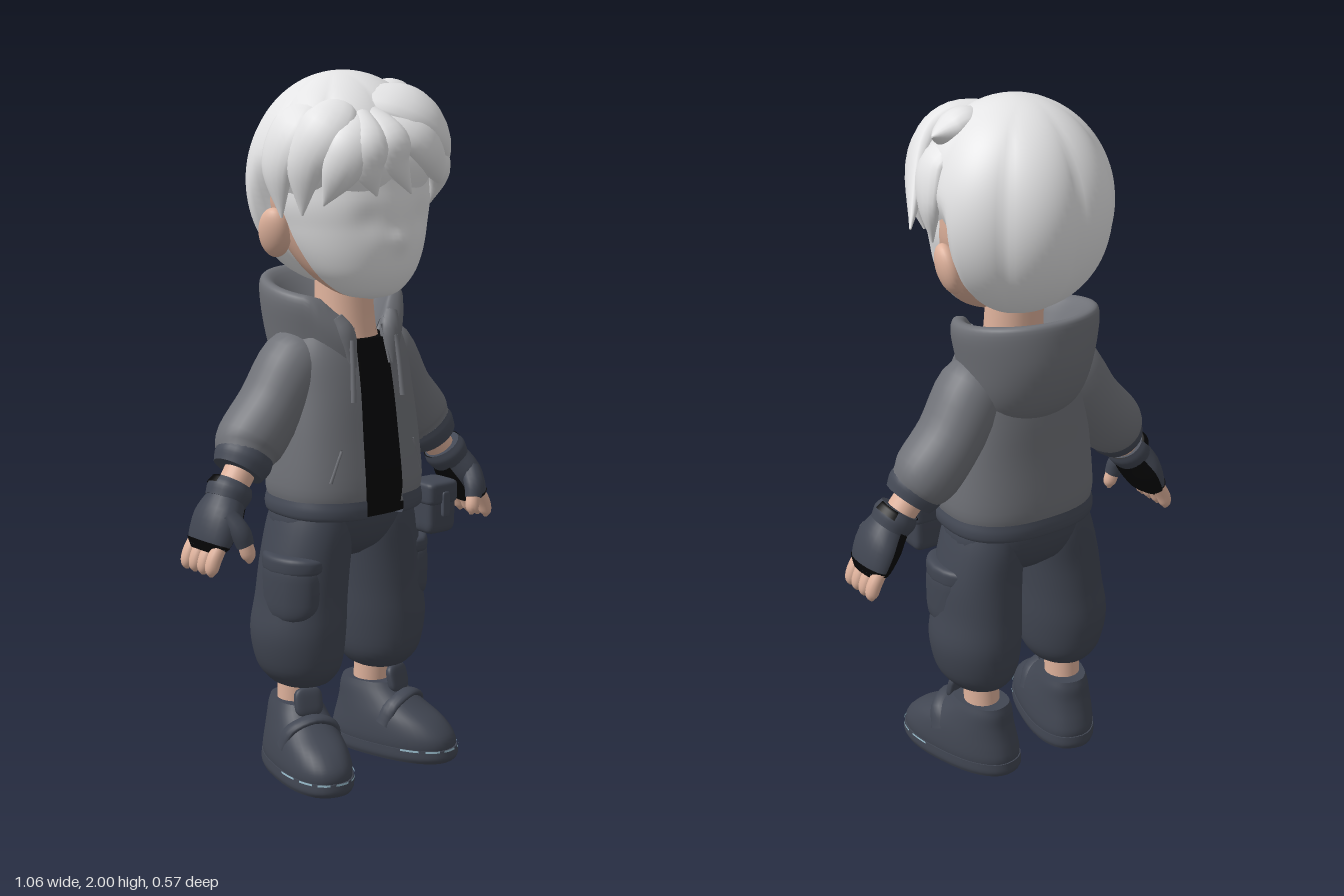
import * as THREE from 'three';

const V = (x, y, z) => new THREE.Vector3(x, y, z);
const X = V(1, 0, 0), Y = V(0, 1, 0), Z = V(0, 0, 1);
const PI = Math.PI, FRONT = 1.5 * PI;
const pow = (v, p) => Math.sign(v) * Math.pow(Math.abs(v), p);

// Smooth skin through elliptical stations [x, y, z, radiusA, radiusB]; an arc leaves it open.
function sweep(st, { axis, ref = X, center, n = 24, sub = 4, p = 1, arc } = {}) {
  const path = new THREE.CatmullRomCurve3(st.map(s => V(s[0], s[1], s[2])), false, 'catmullrom');
  const rad = new THREE.CatmullRomCurve3(st.map(s => V(s[3], s[4], 0)), false, 'catmullrom');
  const m = (st.length - 1) * sub, cols = arc ? n + 1 : n, pos = [], idx = [];
  for (let i = 0; i <= m; i++) {
    const c = path.getPoint(i / m), r = rad.getPoint(i / m);
    const T = axis || path.getTangent(i / m);
    const R = center ? c.clone().sub(center).cross(T) : ref;
    const U = R.clone().addScaledVector(T, -R.dot(T)).normalize();
    const W = T.clone().cross(U);
    for (let j = 0; j < cols; j++) {
      const th = arc ? arc[0] + (arc[1] - arc[0]) * j / n : j / n * 2 * PI;
      const q = c.clone().addScaledVector(U, Math.max(r.x, 0.001) * pow(Math.cos(th), p))
        .addScaledVector(W, Math.max(r.y, 0.001) * pow(Math.sin(th), p));
      pos.push(q.x, q.y, q.z);
    }
  }
  for (let i = 0; i < m; i++) for (let j = 0; j < n; j++) {
    const a = i * cols + j, b = i * cols + (j + 1) % cols;
    idx.push(a, b, a + cols, b, b + cols, a + cols);
  }
  if (!arc) for (const end of [0, m]) {
    const base = pos.length / 3, c = path.getPoint(end / m);
    for (let k = 0; k < cols * 3; k++) pos.push(pos[end * cols * 3 + k]);
    pos.push(c.x, c.y, c.z);
    for (let j = 0; j < n; j++) {
      const a = base + j, b = base + (j + 1) % n;
      idx.push(base + n, end ? a : b, end ? b : a);
    }
  }
  const g = new THREE.BufferGeometry();
  g.setAttribute('position', new THREE.Float32BufferAttribute(pos, 3));
  g.setIndex(idx);
  g.computeVertexNormals();
  return g;
}

// Level rings given as [y, halfWidth, frontZ, backZ, centreX]
const loft = (rows, o = {}) => sweep(
  rows.map(([y, a, f, b, x = 0]) => [x, y, (f + b) / 2, a, (f - b) / 2]), { axis: Y, ...o });

// Moves every vertex by a rule
function reshape(g, fn) {
  const P = g.attributes.position, v = V(0, 0, 0);
  for (let i = 0; i < P.count; i++) {
    fn(v.fromBufferAttribute(P, i));
    P.setXYZ(i, v.x, v.y, v.z);
  }
  g.computeVertexNormals();
  return g;
}

// Soft padded box, optionally bent around the leg
const pillow = (w, h, d, p = 0.4, bend = 0) => reshape(new THREE.SphereGeometry(1, 28, 20), v => {
  v.set(pow(v.x, p) * w / 2, pow(v.y, p) * h / 2, pow(v.z, p) * d / 2);
  v.x -= bend * v.z * v.z;
});

function mirror(g) {
  const m = g.clone().scale(-1, 1, 1), a = m.index.array;
  for (let i = 0; i < a.length; i += 3) [a[i], a[i + 1]] = [a[i + 1], a[i]];
  return m;
}

export function createModel() {
  const root = new THREE.Group();
  root.name = 'hoodedBoy';
  const paint = (name, color, open) => {
    const m = new THREE.MeshStandardMaterial({ color });
    m.name = name;
    if (open) m.side = THREE.DoubleSide;
    return m;
  };
  const white = paint('white', 0xe4e4e5);
  const skin = paint('skin', 0xdfb29c);
  const grey = paint('jacket grey', 0x707278, true);
  const rib = paint('ribbing slate', 0x454a56, true);
  const slate = paint('trouser slate', 0x414652);
  const black = paint('black', 0x060607, true);
  const trim = paint('pale blue trim', 0x9cc0d0, true);

  const add = (name, g, mat) => {
    const m = new THREE.Mesh(g, mat);
    m.name = name;
    root.add(m);
  };
  const pair = (name, g, mat) => {
    add('left' + name, g, mat);
    add('right' + name, mirror(g), mat);
  };

  // Head: pale face in front with a slight nose and eye hollows, skin behind
  const headRows = [[1.378, 0.01, 0.12, 0.1], [1.395, 0.085, 0.175, 0.02], [1.44, 0.145, 0.21, -0.06],
    [1.5, 0.185, 0.228, -0.125], [1.58, 0.215, 0.236, -0.19], [1.68, 0.232, 0.236, -0.23],
    [1.85, 0.2, 0.2, -0.2], [1.93, 0.01, 0.01, -0.01]];
  const bump = (v, x, y, r) => Math.exp(-((v.x - x) ** 2 + (v.y - y) ** 2) / (r * r));
  add('face', reshape(loft(headRows, { arc: [PI, 2 * PI], n: 48, sub: 8 }), v => {
    if (v.z > 0.1) v.z += 0.012 * bump(v, 0, 1.55, 0.03)
      - 0.008 * (bump(v, 0.09, 1.61, 0.045) + bump(v, -0.09, 1.61, 0.045));
  }), white);
  add('backOfHead', loft(headRows, { arc: [0, PI], n: 32 }), skin);
  add('neck', loft([[1.2, 0.12, 0.105, -0.09], [1.29, 0.09, 0.085, -0.085], [1.45, 0.08, 0.07, -0.09]]), skin);
  pair('Ear', new THREE.SphereGeometry(1, 24, 16).scale(0.034, 0.072, 0.05)
    .rotateY(-0.25).rotateX(0.25).rotateZ(-0.2).translate(0.225, 1.565, -0.03), skin);

  // Hair cap: lobes radiate from the crown, tucked in around face and ears
  const mid = V(0, 1.7, -0.01);
  add('hairCap', reshape(new THREE.SphereGeometry(1, 96, 48), v => {
    const ring = Math.hypot(v.x, v.z);
    const lobe = 1 + 0.07 * ring * (Math.pow(Math.abs(Math.sin(4 * Math.atan2(v.z, v.x + 0.12))), 0.7) - 0.6);
    v.set(v.x * 0.268 * lobe, v.y * 0.3, v.z * 0.27 * lobe).add(mid);
    const tuck = THREE.MathUtils.smoothstep(v.z, -0.09, -0.04) * (1 - THREE.MathUtils.smoothstep(v.y, 1.62, 1.78));
    v.x *= 1 - 0.2 * tuck;
    if (v.z > 0) v.z *= 1 - 0.2 * tuck;
  }), white);

  // Hair locks: four path points, width, thickness
  const locks = [
    [[-0.06, 1.93, 0.06], [0.07, 1.9, 0.17], [0.18, 1.82, 0.17], [0.3, 1.67, 0.04], 0.1, 0.05],
    [[-0.05, 1.92, 0.1], [0.05, 1.84, 0.22], [0.13, 1.765, 0.215], [0.22, 1.68, 0.16], 0.075, 0.045],
    [[-0.05, 1.91, 0.14], [-0.04, 1.83, 0.24], [-0.025, 1.76, 0.248], [0.035, 1.675, 0.238], 0.05, 0.032],
    [[-0.07, 1.9, 0.14], [-0.11, 1.82, 0.225], [-0.115, 1.75, 0.235], [-0.085, 1.675, 0.235], 0.055, 0.04],
    [[-0.08, 1.89, 0.15], [-0.14, 1.82, 0.205], [-0.18, 1.74, 0.195], [-0.2, 1.65, 0.15], 0.065, 0.04],
    [[-0.08, 1.92, 0.08], [-0.17, 1.865, 0.14], [-0.225, 1.76, 0.11], [-0.225, 1.62, 0.09], 0.075, 0.04],
    [[-0.1, 1.92, 0], [-0.2, 1.865, 0.04], [-0.25, 1.75, 0.02], [-0.24, 1.61, 0.02], 0.075, 0.035],
    [[0.1, 1.92, 0], [0.2, 1.84, 0.06], [0.24, 1.74, 0.04], [0.232, 1.62, 0.04], 0.075, 0.035],
    [[0.1, 1.85, 0.19], [0.17, 1.77, 0.185], [0.205, 1.71, 0.155], [0.208, 1.63, 0.12], 0.06, 0.035],
    [[0.04, 1.93, 0.03], [0.12, 1.93, 0.05], [0.18, 1.915, 0.04], [0.24, 1.917, 0.02], 0.065, 0.045],
  ];
  locks.forEach(([a, b, c, d, w, t], i) => add('hairLock' + (i + 1), sweep(
    [[...a, w * 0.5, t * 0.5], [...b, w, t], [...c, w * 0.8, t * 0.85], [...d, 0.003, 0.003]],
    { center: mid, n: 16, sub: 6 }), white));

  // Shirt and open jacket body
  const body = [[0.8, 0.22, 0.172, -0.18], [0.86, 0.23, 0.176, -0.185], [1.0, 0.22, 0.16, -0.172],
    [1.12, 0.205, 0.145, -0.165], [1.22, 0.193, 0.125, -0.15], [1.3, 0.165, 0.1, -0.125]];
  const opening = [FRONT + 0.215, FRONT + 2 * PI - 0.215];
  add('jacketBody', loft(body, { arc: opening, n: 48, p: 0.8 }), grey);
  add('shirt', loft([[0.77, 0.2, 0.16, -0.165], ...body.slice(1, 5).map(([y, a, f, b]) => [y, a - 0.012, f - 0.008, b + 0.012]),
    [1.265, 0.16, 0.108, -0.12]], { n: 48, p: 0.8 }), black);
  add('jacketHem', loft([[0.768, 0.2, 0.155, -0.165], [0.77, 0.224, 0.178, -0.186], [0.795, 0.23, 0.182, -0.19],
    [0.822, 0.224, 0.178, -0.186]], { arc: opening, n: 48, p: 0.8 }), rib);

  // Hood: folded cup behind the neck, sloping down to the collar
  const hood = loft([[1.09, 0.12, 0.07, -0.15], [1.13, 0.155, 0.1, -0.2], [1.19, 0.178, 0.12, -0.235],
    [1.27, 0.193, 0.13, -0.257], [1.36, 0.208, 0.14, -0.26], [1.395, 0.198, 0.13, -0.25], [1.385, 0.165, 0.1, -0.215],
    [1.31, 0.12, 0.08, -0.15], [1.25, 0.09, 0.06, -0.1]], { arc: [FRONT + 0.38, FRONT + 2 * PI - 0.38], n: 48 });
  add('hood', reshape(hood, v => { v.y += v.z < 0.05 ? -v.z * 0.17 : -0.0085 - (v.z - 0.05) * 1.5; }), grey);
  pair('CollarEdge', sweep([[0.1, 1.33, 0.08, 0.02, 0.02], [0.08, 1.28, 0.1, 0.03, 0.026],
    [0.07, 1.19, 0.118, 0.012, 0.012]], { n: 16 }), grey);
  pair('Drawstring', sweep([[0.08, 1.27, 0.125, 0.007, 0.007], [0.085, 1.2, 0.136, 0.007, 0.007],
    [0.09, 1.1, 0.146, 0.008, 0.008]], { n: 10 }), grey);
  pair('PocketSeam', sweep([[0.13, 0.97, 0.142, 0.005, 0.005], [0.165, 0.88, 0.137, 0.005, 0.005]], { n: 8 }), grey);

  // Arms
  pair('Sleeve', sweep([[0.1, 1.24, -0.025, 0.06, 0.05], [0.15, 1.2, -0.03, 0.1, 0.1], [0.235, 1.08, -0.04, 0.102, 0.093],
    [0.31, 0.99, -0.04, 0.098, 0.096], [0.342, 0.948, -0.03, 0.08, 0.08]], { ref: Z, n: 28 }), grey);
  pair('Cuff', sweep([[0.328, 0.965, -0.03, 0.08, 0.08], [0.345, 0.942, -0.028, 0.083, 0.083],
    [0.364, 0.917, -0.025, 0.074, 0.072]], { ref: Z }), rib);
  pair('Wrist', sweep([[0.34, 0.94, -0.025, 0.045, 0.045], [0.41, 0.85, -0.015, 0.045, 0.042]], { ref: Z }), skin);

  // Fingerless gloves with black palms and knuckle openings
  const hand = [[0.39, 0.885, -0.015, 0.052, 0.05], [0.415, 0.85, -0.01, 0.06, 0.052], [0.45, 0.8, -0.005, 0.083, 0.055],
    [0.48, 0.74, -0.005, 0.08, 0.042], [0.49, 0.715, -0.005, 0.06, 0.025]];
  const band = [[0.388, 0.888, -0.015, 0.058, 0.056], [0.402, 0.868, -0.013, 0.067, 0.063],
    [0.42, 0.842, -0.01, 0.062, 0.056]];
  const skinOver = (rows, arc) => sweep(
    rows.map(([x, y, z, a, b]) => [x, y, z, a + 0.003, b + 0.003]), { ref: Z, arc, n: 16 });
  pair('Glove', sweep(hand, { ref: Z }), slate);
  pair('GloveBand', sweep(band, { ref: Z }), slate);
  pair('GlovePalm', skinOver(hand.slice(1), [0.28 * PI, PI]), black);
  pair('KnuckleOpening', skinOver(hand.slice(3), [PI, 2.2 * PI]), black);
  pair('WristGap', skinOver(band.slice(0, 2), [1.2 * PI, 1.55 * PI]), black);
  [-0.063, -0.025, 0.014, 0.05].forEach((z, i) => pair('Finger' + (i + 1), sweep(
    [[0.478, 0.745, z, 0.02, 0.02], [0.502, 0.705, z, 0.021, 0.021], [0.512, 0.675, z, 0.018, 0.018],
      [0.513, 0.658, z, 0.005, 0.005]], { ref: Z, n: 12 }), skin));
  pair('ThumbSleeve', sweep([[0.452, 0.815, 0.045, 0.03, 0.03], [0.435, 0.775, 0.078, 0.03, 0.028],
    [0.424, 0.738, 0.088, 0.025, 0.024]], { n: 14 }), slate);
  pair('Thumb', sweep([[0.427, 0.75, 0.086, 0.021, 0.021], [0.417, 0.71, 0.091, 0.02, 0.02],
    [0.414, 0.688, 0.09, 0.005, 0.005]], { n: 12 }), skin);

  // Trousers and cargo pockets
  add('hips', loft([[0.63, 0.08, 0.04, -0.1], [0.67, 0.17, 0.095, -0.145], [0.73, 0.222, 0.126, -0.168],
    [0.8, 0.212, 0.14, -0.17]], { n: 40, p: 0.85 }), slate);
  pair('TrouserLeg', loft([[0.262, 0.062, 0.045, -0.105, 0.145], [0.278, 0.086, 0.075, -0.135, 0.145],
    [0.325, 0.115, 0.108, -0.165, 0.149], [0.42, 0.131, 0.12, -0.178, 0.152], [0.52, 0.126, 0.118, -0.168, 0.143],
    [0.62, 0.124, 0.12, -0.16, 0.134], [0.72, 0.115, 0.125, -0.16, 0.118], [0.79, 0.1, 0.12, -0.15, 0.11]], { n: 32 }), slate);
  pair('CargoPocket', pillow(0.08, 0.18, 0.21, 0.55, 4).translate(0.235, 0.56, 0.005), slate);
  pair('PocketFlap', pillow(0.084, 0.06, 0.215, 0.55, 4).translate(0.232, 0.635, 0.005), slate);

  // Belt pouch
  add('pouch', pillow(0.105, 0.15, 0.1, 0.35).translate(0.232, 0.75, 0.118), slate);
  add('pouchFlap', pillow(0.114, 0.07, 0.11, 0.35).translate(0.232, 0.797, 0.12), slate);
  add('pouchStrap', pillow(0.026, 0.075, 0.014, 0.35).translate(0.232, 0.765, 0.174), rib);

  // Feet, turned slightly outwards
  const place = g => g.rotateY(0.26).translate(0.148, 0, -0.04);
  pair('Ankle', loft([[0.15, 0.052, 0, -0.11, 0.145], [0.3, 0.052, 0.01, -0.1, 0.145]]), skin);
  pair('Shoe', place(loft([[0.02, 0.096, 0.27, -0.132], [0.05, 0.1, 0.276, -0.136], [0.08, 0.098, 0.264, -0.13],
    [0.115, 0.092, 0.225, -0.12], [0.15, 0.083, 0.16, -0.112], [0.185, 0.073, 0.105, -0.108],
    [0.21, 0.064, 0.08, -0.1]], { n: 36, p: 0.85 })), slate);
  pair('Sole', place(loft([[0, 0.098, 0.274, -0.136], [0.015, 0.103, 0.283, -0.141], [0.04, 0.102, 0.28, -0.139]],
    { n: 36, p: 0.85 })), slate);
  pair('ShoeTongue', place(pillow(0.085, 0.085, 0.03, 0.6).rotateX(-0.25).translate(0, 0.22, 0.082)), slate);
  pair('ShoeStrap', place(sweep([[-0.088, 0.1, 0.085, 0.026, 0.01], [-0.064, 0.155, 0.105, 0.026, 0.012],
    [0, 0.18, 0.118, 0.026, 0.012], [0.064, 0.155, 0.105, 0.026, 0.012], [0.088, 0.1, 0.085, 0.026, 0.01]],
  { ref: Z, n: 14 })), slate);
  [-1.2, -0.75, -0.3, 0.15, 0.6, 1.05].forEach((t, i) => pair('SoleStitch' + (i + 1), place(loft(
    [[0.036, 0.105, 0.283, -0.142], [0.042, 0.105, 0.283, -0.142]],
    { arc: [FRONT + t, FRONT + t + 0.32], n: 6, sub: 1, p: 0.85 })), trim));

  return root;
}
